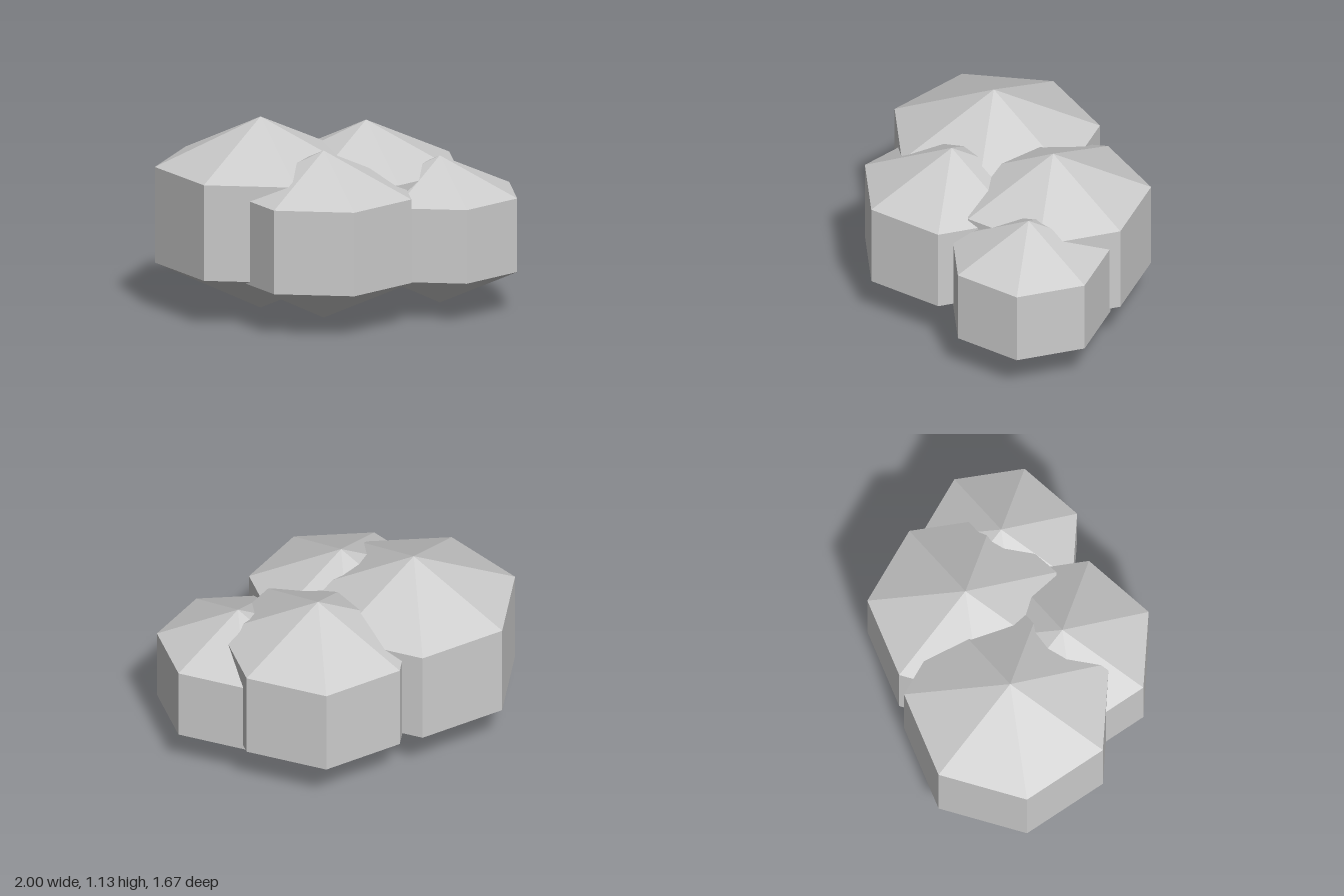
import * as THREE from 'three';

export function createModel() {
  const group = new THREE.Group();
  group.name = 'boulderCluster';
  const material = new THREE.MeshStandardMaterial({ color: 0xcccccc, flatShading: true });

  // Seven-sided, three-band sphere with a corner facing +x; each lobe is a flattened copy
  const lobe = new THREE.SphereGeometry(1, 7, 3, Math.PI);
  const flatten = 0.8;

  // name, radius, centre x, y, z
  const lobes = [
    ['largeLobe', 0.708, -0.448, 0.568, 0.13],
    ['backLobe', 0.654, 0.05, 0.537, -0.288],
    ['frontLobe', 0.619, 0, 0.514, 0.31],
    ['smallLobe', 0.545, 0.526, 0.467, -0.215],
  ];
  for (const [name, radius, x, y, z] of lobes) {
    const mesh = new THREE.Mesh(lobe, material);
    mesh.name = name;
    mesh.scale.set(radius, radius * flatten, radius);
    mesh.position.set(x, y, z);
    group.add(mesh);
  }
  return group;
}
